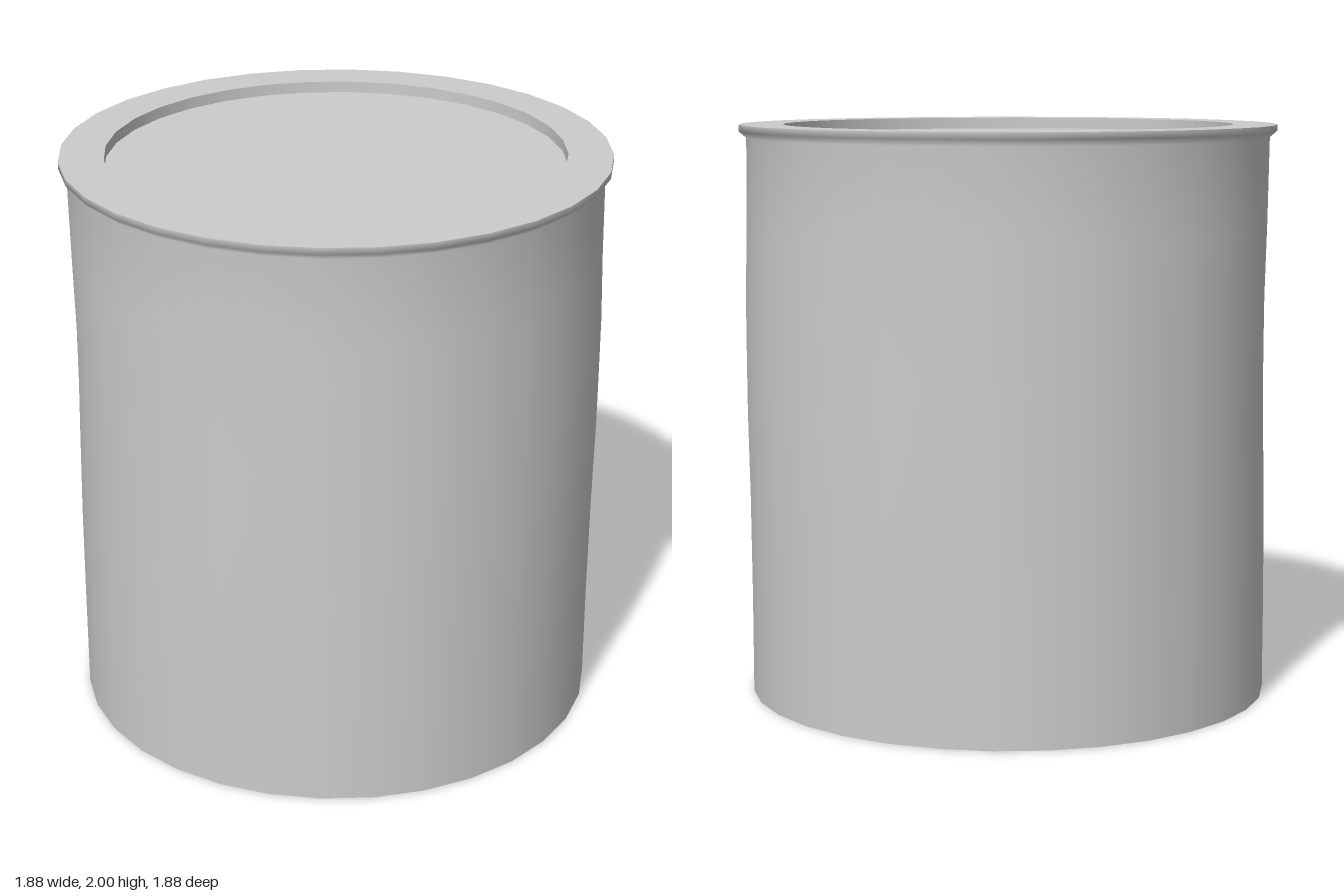
import * as THREE from 'three';

const SIDES = 32;

export function createModel() {
  const model = new THREE.Group();
  const metal = new THREE.MeshStandardMaterial({ color: 0xcccccc });
  metal.name = 'plain grey metal';

  // Revolves a profile of [radius, height] pairs; each call ends in a hard edge.
  const turn = (name, profile) => {
    const points = profile.map(([r, y]) => new THREE.Vector2(r, y));
    const mesh = new THREE.Mesh(new THREE.LatheGeometry(points, SIDES), metal);
    mesh.name = name;
    model.add(mesh);
    return mesh;
  };

  // Wall with a smoothly flared lip
  const wall = turn('wall', [
    [0.912, 0], [0.912, 0.35], [0.912, 0.7], [0.912, 1], [0.911, 1.2],
    [0.911, 1.4], [0.911, 1.65], [0.912, 1.955], [0.938, 1.977], [0.938, 2],
  ]);

  // Slight sideways sway of the wall, fading out at the base and lip
  const bump = (y, centre, width) => Math.max(0, 1 - Math.abs(y - centre) / width);
  const pos = wall.geometry.attributes.position;
  for (let i = 0; i < pos.count; i++) {
    const y = pos.getY(i);
    pos.setX(i, pos.getX(i) + 0.01 * bump(y, 1.35, 0.55));
    pos.setZ(i, pos.getZ(i) + 0.012 * bump(y, 1, 0.65));
  }

  // Base, rim and recessed lid
  turn('base', [[0, 0], [0.912, 0]]);
  turn('rim', [[0.938, 2], [0.785, 2]]);
  turn('recessWall', [[0.785, 2], [0.785, 1.96]]);
  turn('lid', [[0.785, 1.96], [0, 1.96]]);

  return model;
}
